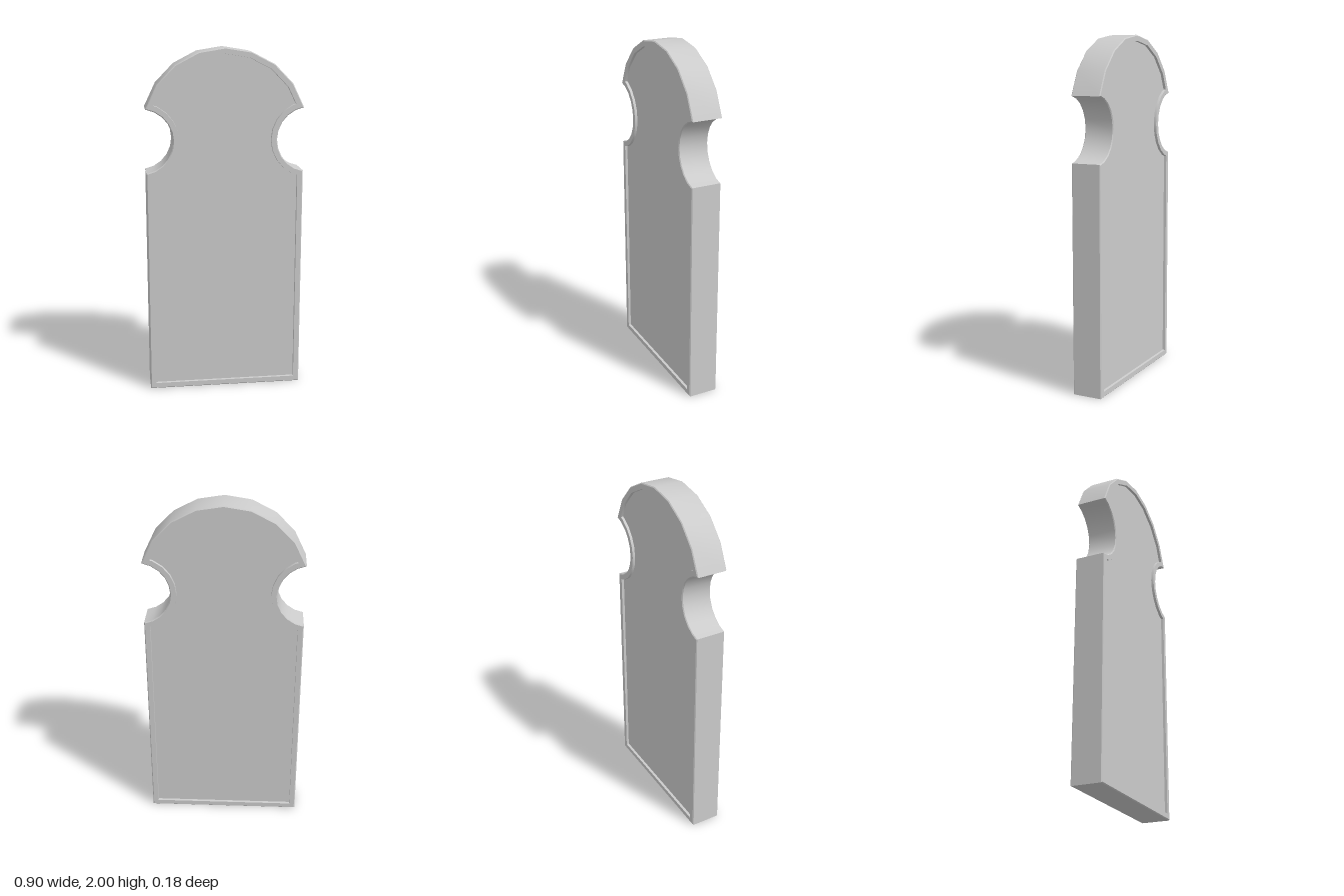
import * as THREE from 'three';
import { toCreasedNormals } from 'three/addons/utils/BufferGeometryUtils.js';

const HALF_W = 0.448;
const V = (x, y) => new THREE.Vector2(x, y);

function arc(cx, cy, r, from, to, steps) {
  return Array.from({ length: steps + 1 }, (_, i) => {
    const a = from + (to - from) * i / steps;
    return V(cx + r * Math.cos(a), cy + r * Math.sin(a));
  });
}

// Counter-clockwise silhouette: straight sides, round shoulder notches, arched head
function outline() {
  const bite = Math.acos((HALF_W - 0.478) / 0.183);
  const notch = arc(0.478, 1.485, 0.183, 2 * Math.PI - bite, bite, 10);
  const right = [V(HALF_W, 0), ...notch];
  const spring = Math.acos(HALF_W / 0.4675);
  const head = arc(0, 1.5325, 0.4675, spring, Math.PI - spring, 8).slice(1, -1);
  const left = right.map(p => V(-p.x, p.y)).reverse();
  return [...right, ...head, ...left];
}

// Moves every edge inwards by d, with mitred corners
function inset(points, d) {
  const n = points.length;
  const normal = (a, b) => V(a.y - b.y, b.x - a.x).normalize();
  return points.map((p, i) => {
    const n1 = normal(points[(i + n - 1) % n], p);
    const n2 = normal(p, points[(i + 1) % n]);
    return p.clone().addScaledVector(n1.clone().add(n2), d / (1 + n1.dot(n2)));
  });
}

function slabGeometry() {
  const base = outline();
  const n = base.length;
  // [inset, z] from the front panel out over the rim to the edge
  const profile = [[0.034, 0.073], [0.033, 0.088], [0.005, 0.088], [0, 0.083]];
  const rings = [
    ...profile.map(([d, z]) => [d, -z]),
    ...profile.slice().reverse(),
  ].map(([d, z]) => inset(base, d).map(p => [p.x, p.y, z]));

  // Walls between neighbouring rings, running back to front
  const index = [];
  for (let k = 0; k < rings.length - 1; k++) {
    for (let i = 0; i < n; i++) {
      const a = k * n + i, b = k * n + (i + 1) % n;
      index.push(a, b, b + n, a, b + n, a + n);
    }
  }
  // Recessed panels on both faces
  const last = (rings.length - 1) * n;
  for (const [a, b, c] of THREE.ShapeUtils.triangulateShape(inset(base, 0.034), [])) {
    index.push(last + a, last + b, last + c, a, c, b);
  }
  const geometry = new THREE.BufferGeometry();
  geometry.setAttribute('position', new THREE.Float32BufferAttribute(rings.flat(2), 3));
  geometry.setIndex(index);
  return toCreasedNormals(geometry, 0.6);
}

export function createModel() {
  const group = new THREE.Group();
  group.name = 'headstone';
  const slab = new THREE.Mesh(slabGeometry(), new THREE.MeshStandardMaterial({ color: 0xcccccc }));
  slab.name = 'rimmedSlab';
  group.add(slab);
  return group;
}
